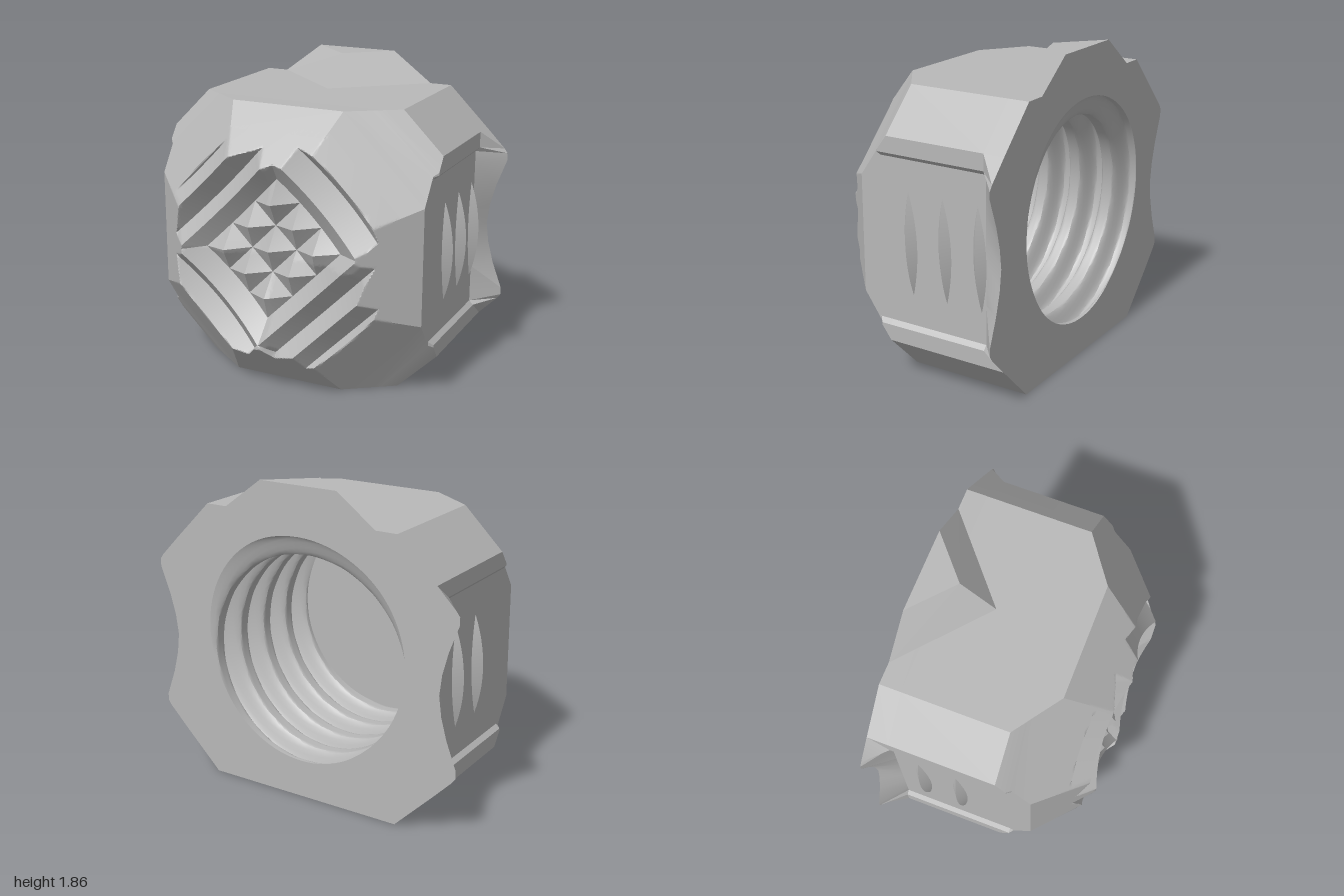
import * as THREE from 'three';
import { toCreasedNormals } from 'three/addons/utils/BufferGeometryUtils.js';
import { ConvexGeometry } from 'three/addons/geometries/ConvexGeometry.js';

const CY = 0.8375;      // height of the bore axis
const BACK = -0.625;
const FRONT = 0.62;
const PITCH = 0.23;     // thread pitch

// Closed cross-section: right side from bottom to top, top edge, then the same turned by 180 degrees
function section(side, topX, topY = CY) {
  const right = [...side.map(([x, y]) => [x, -y]), ...side.slice(0, -1).reverse()];
  const half = [...right, [topX, topY], [-topX, topY]];
  return [...half, ...half.map(([x, y]) => [-x, -y])];
}

function loft(loops) {
  const pos = [], idx = [], n = loops[0].pts.length;
  loops.forEach(({ z, pts }, k) => {
    pts.forEach(([x, y]) => pos.push(x, y, z));
    if (k === 0) return;
    for (let i = 0; i < n; i++) {
      const a = (k - 1) * n + i, b = (k - 1) * n + (i + 1) % n;
      idx.push(a, b, b + n, a, b + n, a + n);
    }
  });
  const g = new THREE.BufferGeometry();
  g.setAttribute('position', new THREE.Float32BufferAttribute(pos, 3));
  g.setIndex(idx);
  return toCreasedNormals(g, 0.35);
}

// Height of the nose: octagonal cone, hollowed tip, crossed V-grooves along the diagonals
const PA = 0.218, PB = 0.182, MID = 0.03;
function noseHeight(a, b) {
  const x = (a - b) / Math.SQRT2, y = (a + b) / Math.SQRT2;
  const radius = Math.max(Math.abs(x), Math.abs(y), Math.abs(a), Math.abs(b));
  const u = Math.abs(a - MID) / PA, v = Math.abs(b - MID) / PB;
  const tri = (t) => 1 - Math.abs(2 * (t - Math.floor(t)) - 1);
  const inA = u <= 2, inB = v <= 2;
  let cut = 0;
  if (inA && inB) {
    const edgeA = Math.max(0, 2 * (2 - u)), edgeB = Math.max(0, 2 * (2 - v));
    cut = 0.08 * Math.max(Math.min(tri(u), edgeB), Math.min(tri(v), edgeA));
  } else if (inB) cut = 0.11 * tri(u);
  else if (inA) cut = 0.1 * tri(v);
  const hollow = 0.055 * Math.max(0, 1 - (Math.min(Math.abs(a), Math.abs(b)) / 0.37) ** 2);
  return { x, y, radius, z: Math.min(1.158 - radius, FRONT - hollow - cut) };
}

function noseGeometry() {
  const steps = 24, n = steps * 4, pos = [];
  const at = (i, j) => noseHeight(MID + i * PA / steps, MID + j * PB / steps);
  for (let i = -n; i < n; i++) {
    for (let j = -n - steps; j < n + steps; j++) {
      const q = [at(i, j), at(i + 1, j), at(i + 1, j + 1), at(i, j + 1)];
      if (Math.max(...q.map((p) => p.radius)) > 0.74) continue;
      // Split each cell along the diagonal that follows the surface best
      const centre = at(i + 0.5, j + 0.5).z;
      const e02 = Math.abs((q[0].z + q[2].z) / 2 - centre);
      const e13 = Math.abs((q[1].z + q[3].z) / 2 - centre);
      const order = e02 <= e13 ? [0, 1, 2, 0, 2, 3] : [0, 1, 3, 1, 2, 3];
      for (const k of order) pos.push(q[k].x, q[k].y, q[k].z);
    }
  }
  const g = new THREE.BufferGeometry();
  g.setAttribute('position', new THREE.Float32BufferAttribute(pos, 3));
  return toCreasedNormals(g, 0.5);
}

// Bore radius along the helical thread
function boreRadius(angle, z) {
  const phase = z / PITCH - angle / (2 * Math.PI) + 0.5;
  const t = 1 - Math.abs(2 * (phase - Math.floor(phase)) - 1);
  return 0.61 + 0.12 * THREE.MathUtils.smoothstep(t, 0.25, 0.85);
}

export function createModel() {
  const group = new THREE.Group();
  const grey = new THREE.MeshStandardMaterial({ color: 0xb8b8b8, side: THREE.DoubleSide });
  grey.name = 'grey';
  const add = (name, geometry) => {
    const mesh = new THREE.Mesh(geometry, grey);
    mesh.name = name;
    mesh.position.y = CY;
    group.add(mesh);
    return mesh;
  };

  // Octagonal body with recessed sides and a scalloped flare at the back
  const flare = [[0.865, 0.6], [0.98, 0.483], [1, 0.455], [1, 0.41], [0.94, 0.25], [0.905, 0.12], [0.89, 0]];
  const inner = [[0.84, 0.48], [0.84, 0.41], [0.84, 0.25], [0.84, 0.12], [0.84, 0]];
  const recess = [[0.865, 0.6], [0.865, 0.505], ...inner];
  const octagon = (r) => section(recess.map(([, y]) => [r, y / 0.6 * r * 0.4142]), r * 0.4142, r);
  const rear = section(flare, 0.625);
  add('body', loft([
    { z: BACK, pts: rear },
    { z: -0.5, pts: section(recess, 0.625) },
    { z: 0.125, pts: section(recess, 0.625) },
    { z: 0.185, pts: section([[0.865, 0.52], [0.865, 0.505], ...inner], 0.54) },
    { z: 0.21, pts: section([[0.84, 0.502], [0.84, 0.495], ...inner], 0.503) },
    { z: 0.32, pts: octagon(0.838) },
    { z: 0.45, pts: octagon(0.708) },
  ]));

  // Grooved nose
  add('treadedNose', noseGeometry());

  // Back face, its opening shaped by the thread running out
  const face = new THREE.Shape(rear.map(([x, y]) => new THREE.Vector2(-x, y)).reverse());
  const rim = [];
  for (let i = 0; i < 96; i++) {
    const angle = i / 96 * 2 * Math.PI, r = boreRadius(angle, BACK);
    rim.push(new THREE.Vector2(-r * Math.cos(angle), r * Math.sin(angle)));
  }
  face.holes.push(new THREE.Path(rim));
  add('backFace', new THREE.ShapeGeometry(face).rotateY(Math.PI).translate(0, 0, BACK));

  // Threaded bore with its wall turned inwards
  const depth = 0.95;
  const bore = new THREE.CylinderGeometry(1, 1, depth, 96, 80, true)
    .rotateX(Math.PI / 2).translate(0, 0, BACK + depth / 2);
  const p = bore.attributes.position;
  for (let i = 0; i < p.count; i++) {
    const angle = Math.atan2(p.getY(i), p.getX(i));
    const r = boreRadius(angle, p.getZ(i));
    p.setXY(i, r * Math.cos(angle), r * Math.sin(angle));
  }
  const index = bore.index.array;
  for (let i = 0; i < index.length; i += 3) [index[i], index[i + 1]] = [index[i + 1], index[i]];
  add('threadedBore', toCreasedNormals(bore, 0.6));
  add('boreFloor', new THREE.CircleGeometry(0.74, 64).rotateY(Math.PI).translate(0, 0, BACK + depth));

  // Slim arcs of thread that break through the flat sides
  const profile = [[0.8, -0.072], [0.892, 0], [0.8, 0.072]].map(([r, z]) => new THREE.Vector2(r, z));
  for (const side of [1, -1]) {
    const levels = side > 0 ? [-0.01, -0.235, -0.46] : [-0.12, -0.35];
    for (const z of levels) {
      const arc = new THREE.LatheGeometry(profile, 20, side * Math.PI / 2 - 0.42, 0.84)
        .rotateX(Math.PI / 2).rotateX(side * 0.04).translate(0, 0, z);
      add('sideRidge', toCreasedNormals(arc, 0.5));
    }
  }

  // Pointed wedge on the top
  const triangle = (y, tip, w) => [
    new THREE.Vector3(0, y, tip), new THREE.Vector3(w, y, BACK), new THREE.Vector3(-w, y, BACK)];
  const wedge = add('topWedge', new ConvexGeometry([
    ...triangle(1.67, -0.195, 0.5), ...triangle(1.84, -0.405, 0.25), ...triangle(1.855, -0.405, 0.25)]));
  wedge.position.y = 0;

  return group;
}
